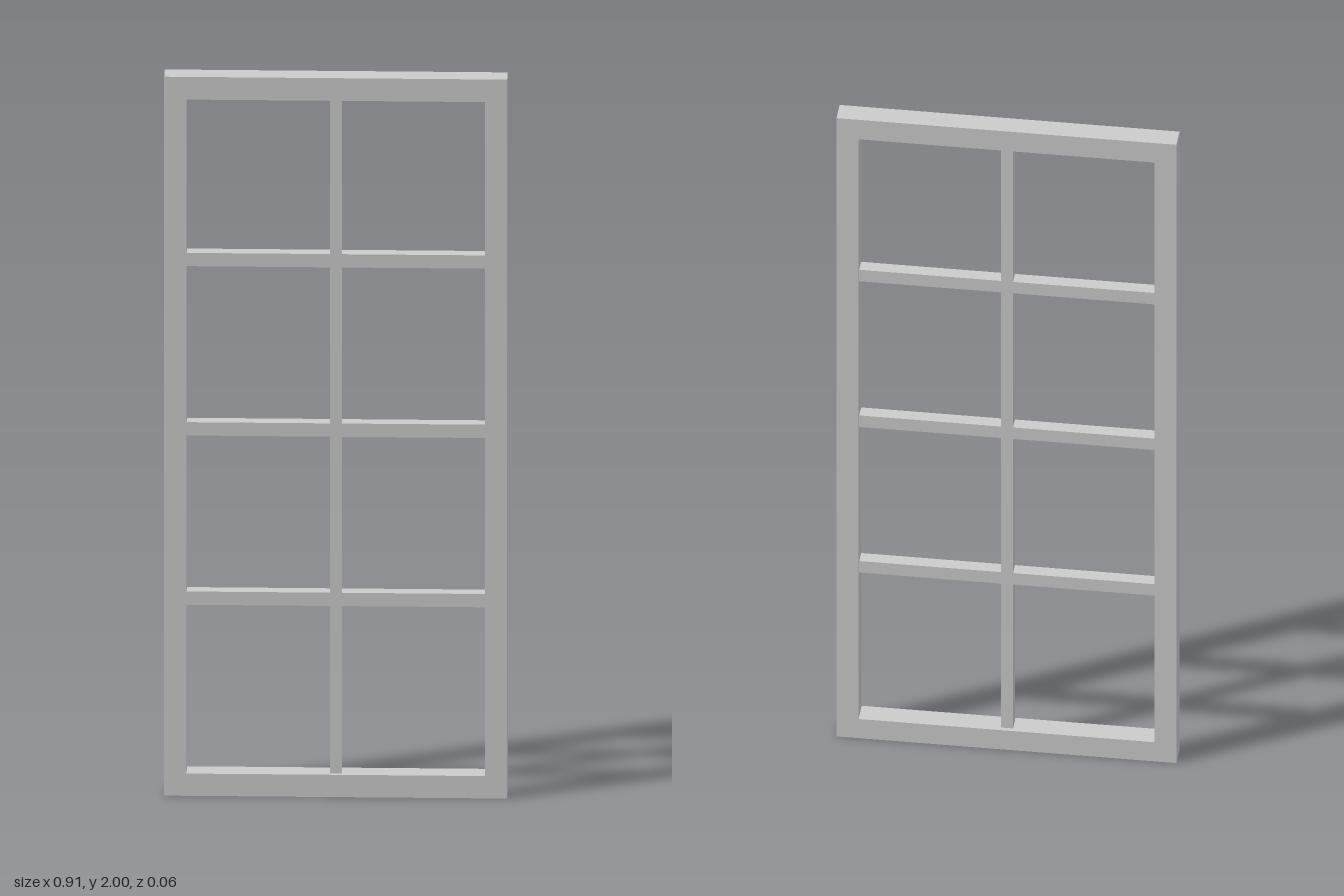
import * as THREE from 'three';

const material = new THREE.MeshStandardMaterial({ color: 0xcccccc, flatShading: true });

// Rectangle from two opposite corners
function rect(PathType, x0, y0, x1, y1) {
  const p = new PathType();
  p.moveTo(x0, y0);
  p.lineTo(x1, y0);
  p.lineTo(x1, y1);
  p.lineTo(x0, y1);
  p.closePath();
  return p;
}

// Flat panel with openings, extruded and centred on z = 0
function panel(name, outline, holes, depth) {
  outline.holes.push(...holes);
  const geometry = new THREE.ExtrudeGeometry(outline, { depth, bevelEnabled: false });
  geometry.translate(0, 0, -depth / 2);
  const mesh = new THREE.Mesh(geometry, material);
  mesh.name = name;
  return mesh;
}

export function createModel() {
  const group = new THREE.Group();
  group.name = 'windowFrame';

  const halfW = 0.453, innerW = 0.394, bottom = 0.062, top = 1.937;

  // Outer frame around one tall opening
  group.add(panel('outerFrame',
    rect(THREE.Shape, -halfW, 0, halfW, 2),
    [rect(THREE.Path, -innerW, bottom, innerW, top)], 0.061));

  // Thinner glazing bars: one upright crossed by three rails
  const barHalf = 0.016, railHalf = 0.0185, barDepth = 0.037;
  const rails = [0.546, 1.017, 1.488];
  const upright = rect(THREE.Shape, -barHalf, bottom, barHalf, top);
  upright.curves.length = 0;

  // Trace the cross-bar outline up the right side, then mirror it down the left
  const right = [[barHalf, bottom]];
  for (const y of rails) {
    right.push([barHalf, y - railHalf], [innerW, y - railHalf],
      [innerW, y + railHalf], [barHalf, y + railHalf]);
  }
  right.push([barHalf, top]);
  const left = right.map(([x, y]) => [-x, y]).reverse();
  const outline = new THREE.Shape([...right, ...left].map(([x, y]) => new THREE.Vector2(x, y)));
  group.add(panel('glazingBars', outline, [], barDepth));

  return group;
}
